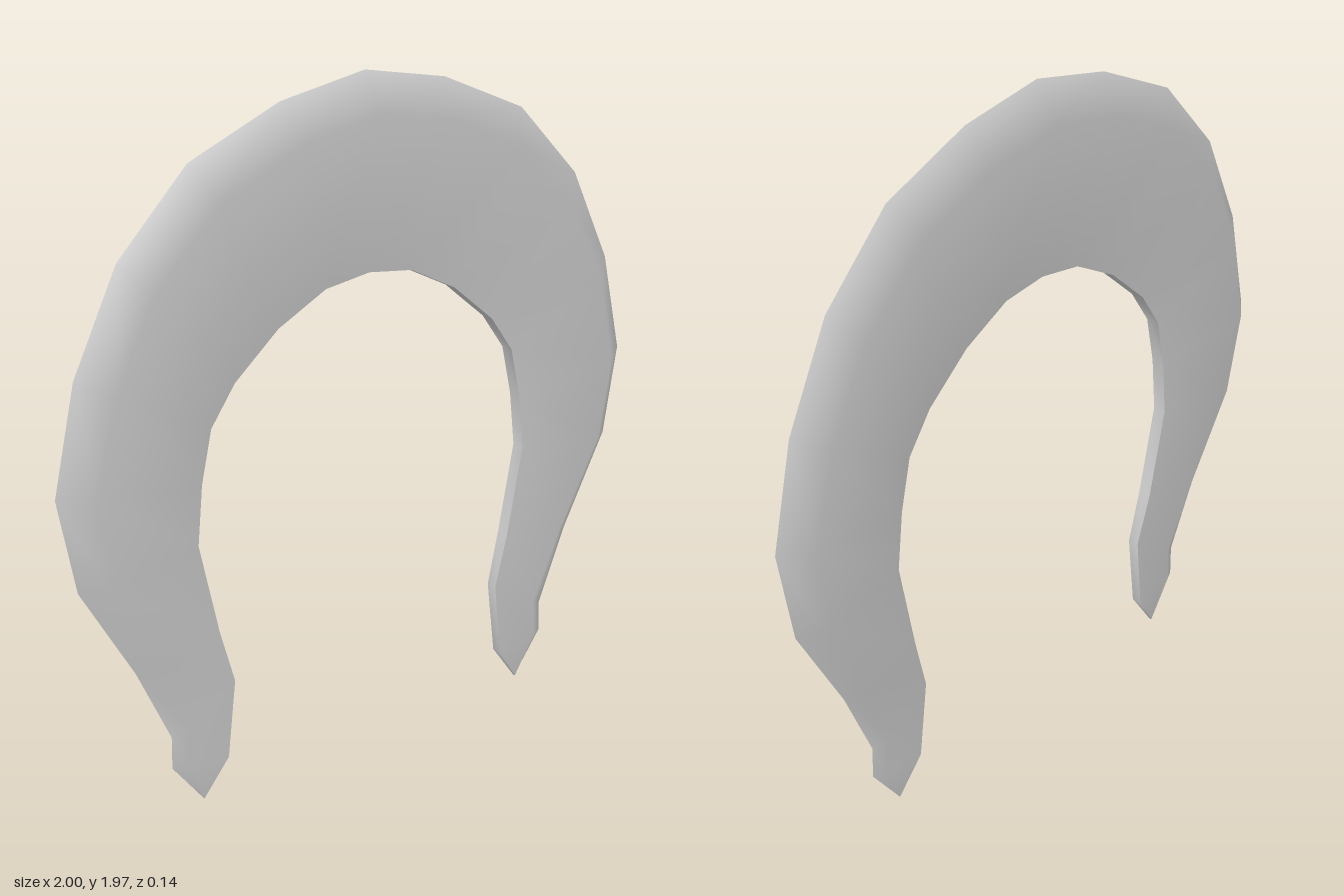
import * as THREE from 'three';

// Stations from the crown down to the heel tip:
// outer x, outer y, inner x, inner y, half thickness at ridge, z centre
const HALF = [
  [0, 1.97, 0, 1.42, 0.071, 0.002],
  [0.28, 1.92, 0.15, 1.4, 0.071, 0.002],
  [0.57, 1.8, 0.31, 1.32, 0.07, 0.002],
  [0.79, 1.58, 0.455, 1.2, 0.069, 0.003],
  [0.93, 1.3, 0.535, 1.09, 0.067, 0.004],
  [1, 1, 0.57, 0.94, 0.061, 0.005],
  [0.95, 0.73, 0.588, 0.77, 0.049, 0.007],
  [0.79, 0.45, 0.53, 0.5, 0.031, 0.011],
  [0.688, 0.225, 0.485, 0.34, 0.017, 0.016],
  [0.69, 0.13, 0.512, 0.11, 0.015, 0.017],
  [0.59, 0, 0.59, 0, 0.003, 0.017],
];

// Both legs joined in one run from the -x tip over the crown to the +x tip
const STATIONS = [
  ...HALF.slice(1).reverse().map(([ox, oy, ix, iy, t, z]) => [-ox, oy, -ix, iy, t, z]),
  ...HALF,
];

// Point on a section: f runs from outer edge (0) to inner edge (1)
function sectionPoint([ox, oy, ix, iy, , zc], f, dz) {
  return [ox + (ix - ox) * f, oy + (iy - oy) * f, zc + dz];
}

// Smooth sheet lofted through the stations
function sheet(name, columns, material) {
  const positions = [];
  const index = [];
  const n = columns.length;
  STATIONS.forEach((s, i) => {
    columns.forEach((column) => positions.push(...column(s)));
    if (i === STATIONS.length - 1) return;
    for (let j = 0; j < n - 1; j++) {
      const a = i * n + j;
      index.push(a, a + 1, a + n, a + 1, a + n + 1, a + n);
    }
  });
  const geometry = new THREE.BufferGeometry();
  geometry.setAttribute('position', new THREE.Float32BufferAttribute(positions, 3));
  geometry.setIndex(index);
  geometry.computeVertexNormals();
  const mesh = new THREE.Mesh(geometry, material);
  mesh.name = name;
  return mesh;
}

export function createModel() {
  const group = new THREE.Group();
  group.name = 'horseshoeArch';
  const material = new THREE.MeshStandardMaterial({ color: 0xcccccc, side: THREE.DoubleSide });

  const outer = (s) => sectionPoint(s, 0, 0);
  const ridge = (side) => (s) => sectionPoint(s, 0.2, side * s[4]);
  const inner = (side) => (s) => sectionPoint(s, 1, side * Math.min(s[4], 0.02));

  // Bevelled front and back faces meeting in a sharp outer edge
  group.add(sheet('frontFace', [outer, ridge(1), inner(1)], material));
  group.add(sheet('backFace', [inner(-1), ridge(-1), outer], material));
  // Thin wall along the inner opening
  group.add(sheet('innerWall', [inner(1), inner(-1)], material));
  return group;
}
